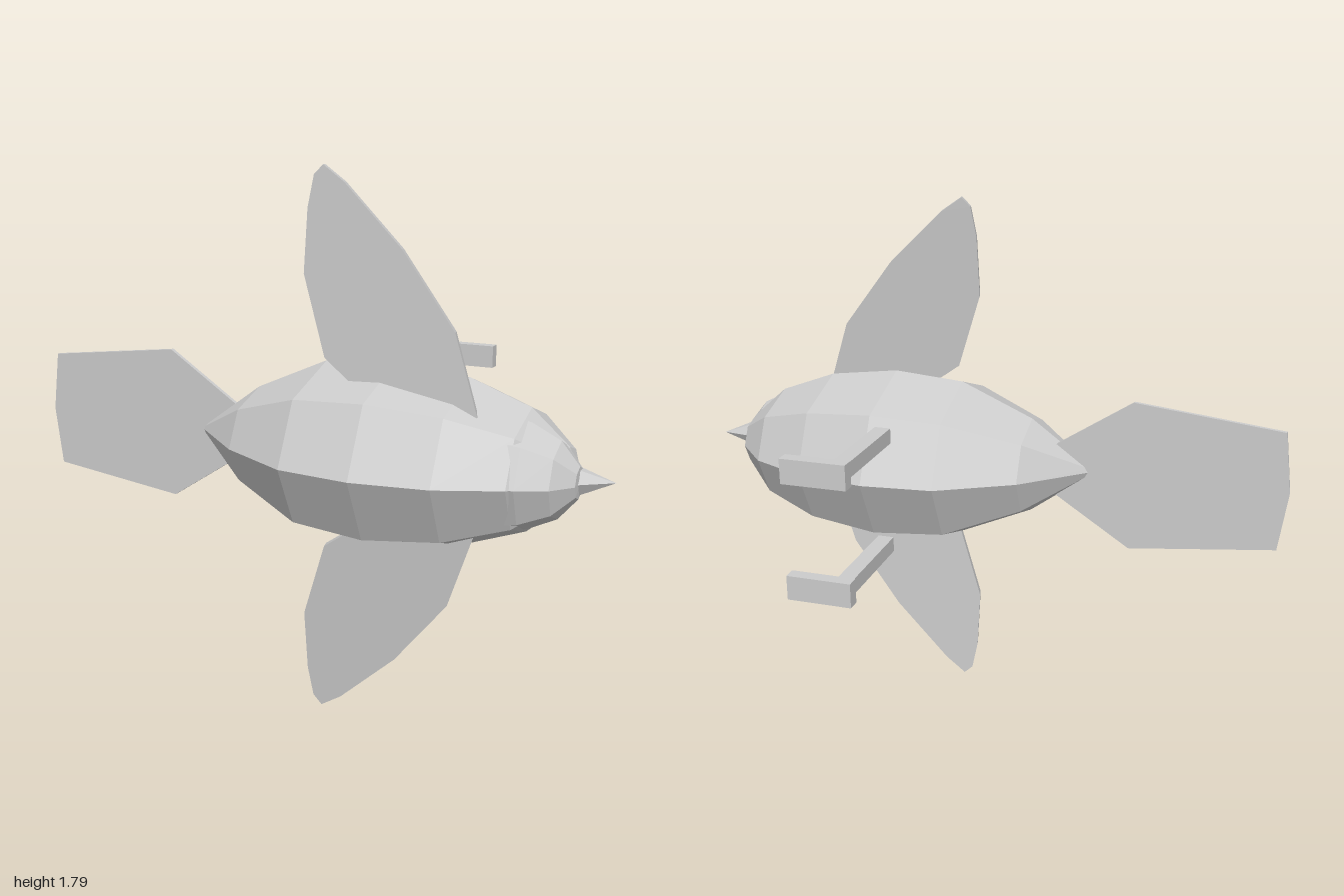
import * as THREE from 'three';

const MID = 0.896; // height of the plane of symmetry
const TILT = -0.245; // turn of the bird about the vertical

const material = new THREE.MeshStandardMaterial({ color: 0xcccccc, flatShading: true });

function add(parent, name, geometry, x = 0, y = 0, z = 0) {
  const mesh = new THREE.Mesh(geometry, material);
  mesh.name = name;
  mesh.position.set(x, y, z);
  parent.add(mesh);
  return mesh;
}

const points = (list) => list.map(([x, y]) => new THREE.Vector2(x, y));

// Flat plate cut from an outline in the xy plane, centred on z = 0
function plate(outline, depth) {
  const geometry = new THREE.ExtrudeGeometry(new THREE.Shape(points(outline)), { depth, bevelEnabled: false });
  return geometry.translate(0, 0, -depth / 2);
}

// Solid of revolution along x from [radius, x] pairs
function turned(profile, sides) {
  return new THREE.LatheGeometry(points(profile), sides).rotateZ(-Math.PI / 2);
}

export function createModel() {
  const model = new THREE.Group();
  model.name = 'bird';
  model.position.y = MID;

  // Tilted frame: x runs from tail to beak, -z points to the feet
  const frame = new THREE.Group();
  frame.name = 'trunk';
  frame.rotation.y = TILT;
  model.add(frame);

  // Eight-sided egg-shaped body, narrower from side to side
  const body = turned([
    [0, -0.34], [0.02, -0.337], [0.205, -0.13], [0.34, 0.12], [0.365, 0.363],
    [0.327, 0.605], [0.238, 0.8], [0.108, 0.92], [0, 0.96],
  ], 8).scale(1, 0.82, 1);
  add(frame, 'body', body, 0, 0, 0.123);

  // Head, partly sunk in the body
  const head = turned([
    [0, -0.14], [0.12, -0.1], [0.172, -0.015], [0.165, 0.02], [0.12, 0.11], [0.05, 0.168], [0, 0.172],
  ], 8);
  add(frame, 'head', head, 0.8, 0, 0.185);

  // Fan tail
  add(frame, 'tail', plate([
    [-0.2, 0.08], [-0.235, 0.1], [-0.483, 0.262], [-0.978, 0.205], [-1.004, 0],
    [-0.978, -0.205], [-0.483, -0.262], [-0.235, -0.1], [-0.2, -0.08],
  ], 0.015), 0, 0, 0.107);

  // Beak
  const beak = new THREE.ConeGeometry(0.05, 0.12, 6).rotateZ(-Math.PI / 2);
  add(model, 'beak', beak, 0.94, 0, 0.392);

  // Wing blade, sheared so that it sweeps back towards the tip
  const wing = plate([
    [0.45, 0.1], [0.595, 0.185], [0.52, 0.425], [0.35, 0.655], [0.16, 0.845], [0.09, 0.895],
    [0.06, 0.865], [0.04, 0.765], [0.03, 0.565], [0.105, 0.31], [0.19, 0.245], [0.3, 0.1],
  ], 0.033);
  const p = wing.attributes.position;
  for (let i = 0; i < p.count; i++) {
    p.setZ(i, p.getZ(i) + 0.217 + 0.33 * (p.getX(i) - 0.09) - 0.06 * (p.getY(i) - 0.895));
  }
  wing.computeVertexNormals();

  // Paired parts on both sides of the symmetry plane
  const leg = new THREE.BoxGeometry(0.053, 0.05, 0.36);
  const foot = new THREE.BoxGeometry(0.21, 0.08, 0.042);
  for (const [side, label] of [[1, 'upper'], [-1, 'lower']]) {
    add(model, label + 'Wing', wing).scale.y = side;
    add(frame, label + 'Leg', leg, 0.27, side * 0.19, -0.432);
    add(frame, label + 'Foot', foot, 0.333, side * 0.19, -0.632);
  }

  const group = new THREE.Group();
  group.add(model);
  return group;
}
